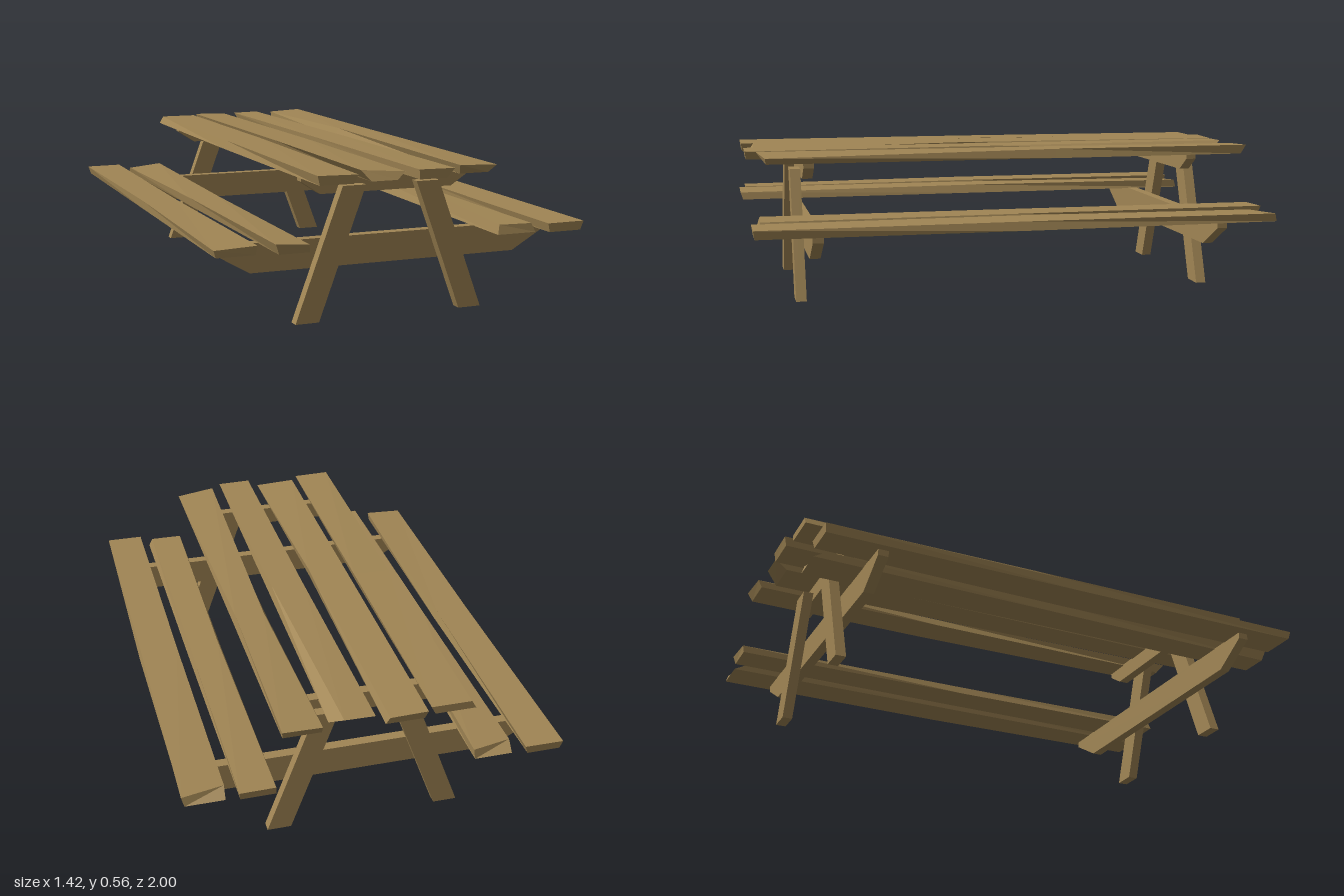
import * as THREE from 'three';

const wood = new THREE.MeshStandardMaterial({ color: 0xa08554, roughness: 0.9, flatShading: true });

// Extruded outline, centred on depth z
function slab(name, points, z, depth) {
  const shape = new THREE.Shape(points.map(([x, y]) => new THREE.Vector2(x, y)));
  const geo = new THREE.ExtrudeGeometry(shape, { depth, bevelEnabled: false });
  geo.translate(0, 0, z - depth / 2);
  const mesh = new THREE.Mesh(geo, wood);
  mesh.name = name;
  return mesh;
}

// Rough-hewn plank lofted through four-cornered sections, listed back to front.
// Section: [top x0, x1, bottom x0, x1, top y0, y1, top z0, z1, bottom z]
function plank(name, base, sections) {
  const pos = [], index = [];
  for (const [t0, t1, b0, b1, y0, y1, z0, z1, zb] of sections) {
    pos.push(t0, base + y0, z0, t1, base + y1, z1, b1, base, zb, b0, base, zb);
  }
  for (let s = 0; s < sections.length - 1; s++) {
    const a = s * 4, b = a + 4;
    for (let i = 0; i < 4; i++) {
      const j = (i + 1) % 4;
      index.push(b + i, b + j, a + j, b + i, a + j, a + i);
    }
  }
  const e = (sections.length - 1) * 4;
  index.push(0, 1, 2, 0, 2, 3, e, e + 3, e + 2, e, e + 2, e + 1);
  const indexed = new THREE.BufferGeometry();
  indexed.setAttribute('position', new THREE.Float32BufferAttribute(pos, 3));
  indexed.setIndex(index);
  const geo = indexed.toNonIndexed();
  geo.computeVertexNormals();
  const mesh = new THREE.Mesh(geo, wood);
  mesh.name = name;
  return mesh;
}

export function createModel() {
  const model = new THREE.Group();
  model.name = 'picnicTable';

  // Two end frames: splayed legs outside, crossbeams inside
  for (const [end, s] of [['front', 1], ['back', -1]]) {
    const frame = new THREE.Group();
    frame.name = end + 'Frame';
    for (const [side, m] of [['left', 1], ['right', -1]]) {
      const leg = [[0.28, 0], [0.37, 0], [0.19, 0.488], [0.1, 0.488]];
      frame.add(slab(side + 'Leg', leg.map(([x, y]) => [x * m, y]), s * 0.81, 0.04));
    }
    frame.add(slab('topBeam', [[-0.26, 0.457], [0.26, 0.457], [0.333, 0.505],
      [0.333, 0.528], [-0.333, 0.528], [-0.333, 0.505]], s * 0.77, 0.04));
    frame.add(slab('benchBeam', [[-0.525, 0.192], [0.525, 0.192], [0.665, 0.273],
      [0.665, 0.299], [-0.665, 0.299], [-0.665, 0.273]], s * 0.77, 0.04));
    model.add(frame);
  }

  // Table top boards
  const top = new THREE.Group();
  top.name = 'tableTop';
  top.add(
    plank('topBoard1', 0.523, [
      [-0.345, -0.195, -0.362, -0.21, 0.03, 0.03, -0.975, -0.975, -0.975],
      [-0.35, -0.2, -0.36, -0.21, 0.034, 0.036, 0, 0, 0],
      [-0.355, -0.205, -0.345, -0.22, 0.035, 0.032, 1, 1, 0.995]]),
    plank('topBoard2', 0.523, [
      [-0.175, -0.035, -0.165, -0.022, 0.033, 0.03, -1, -1, -0.99],
      [-0.175, -0.03, -0.16, -0.035, 0.038, 0.035, 0.1, 0.1, 0.1],
      [-0.175, -0.01, -0.145, -0.045, 0.038, 0.026, 0.95, 0.96, 0.975]]),
    plank('topBoard3', 0.523, [
      [0.012, 0.125, 0.02, 0.168, 0.033, 0.035, -0.98, -0.98, -0.93],
      [0.022, 0.15, 0.025, 0.16, 0.035, 0.035, 0, 0, 0],
      [0.025, 0.163, 0.03, 0.135, 0.036, 0.034, 1, 1, 0.995]]),
    plank('topBoard4', 0.523, [
      [0.205, 0.35, 0.205, 0.345, 0.03, 0.036, -0.995, -1, -0.98],
      [0.23, 0.342, 0.212, 0.35, 0.036, 0.036, -0.2, -0.2, -0.2],
      [0.205, 0.368, 0.22, 0.335, 0.036, 0.026, 0.96, 0.935, 0.93]]));
  model.add(top);

  // Bench boards, a pair on each side
  const right = new THREE.Group(), left = new THREE.Group();
  right.name = 'rightBench';
  left.name = 'leftBench';
  right.add(
    plank('outerBoard', 0.297, [
      [-0.705, -0.558, -0.695, -0.57, 0.032, 0.033, -1, -1, -0.995],
      [-0.702, -0.57, -0.7, -0.56, 0.034, 0.034, 0, 0, 0],
      [-0.714, -0.56, -0.705, -0.565, 0.027, 0.033, 0.97, 0.97, 0.965]]),
    plank('innerBoard', 0.297, [
      [-0.522, -0.37, -0.515, -0.372, 0.026, 0.034, -0.93, -0.97, -0.98],
      [-0.51, -0.39, -0.505, -0.378, 0.035, 0.035, 0, 0, 0],
      [-0.505, -0.385, -0.49, -0.378, 0.038, 0.03, 1, 1, 0.99]]));
  left.add(
    plank('innerBoard', 0.297, [
      [0.372, 0.505, 0.37, 0.5, 0.03, 0.033, -0.995, -1, -0.99],
      [0.382, 0.5, 0.368, 0.51, 0.035, 0.033, 0, 0, 0],
      [0.37, 0.5, 0.36, 0.515, 0.035, 0.033, 0.96, 0.965, 0.97]]),
    plank('outerBoard', 0.297, [
      [0.545, 0.704, 0.55, 0.695, 0.026, 0.032, -0.93, -0.97, -0.98],
      [0.552, 0.698, 0.555, 0.705, 0.035, 0.034, 0, 0, 0],
      [0.55, 0.7, 0.56, 0.69, 0.034, 0.034, 1, 1, 0.995]]));
  model.add(right, left);
  return model;
}
